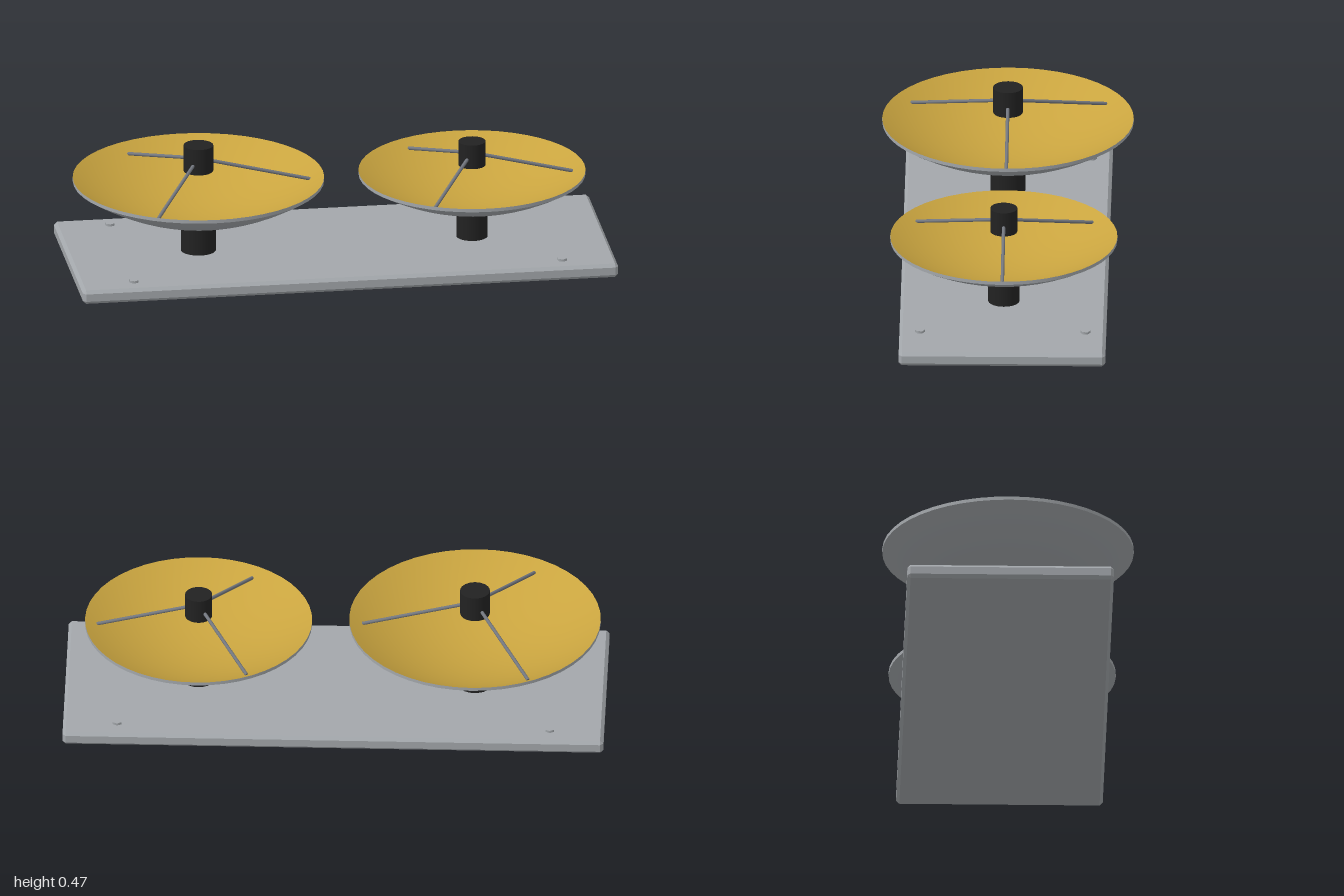
import * as THREE from 'three';
import { ConvexGeometry } from 'three/addons/geometries/ConvexGeometry.js';

const mat = (name, color, opts = {}) => {
  const m = new THREE.MeshStandardMaterial({ color, ...opts });
  m.name = name;
  return m;
};

export function createModel() {
  const grey = mat('light grey metal', 0xa3a7ab);
  const gold = mat('gold', 0xc9a43f);
  const black = mat('black', 0x222222);
  const steel = mat('strut grey', 0x73777f);

  const model = new THREE.Group();
  model.name = 'twinDishAntenna';

  const add = (parent, name, geometry, material, x = 0, y = 0, z = 0) => {
    const mesh = new THREE.Mesh(geometry, material);
    mesh.name = name;
    mesh.position.set(x, y, z);
    parent.add(mesh);
    return mesh;
  };

  // Upright cylinder standing between two heights
  const post = (parent, name, r, y0, y1, material, sides = 32, x = 0, z = 0) =>
    add(parent, name, new THREE.CylinderGeometry(r, r, y1 - y0, sides), material, x, (y0 + y1) / 2, z);

  // Thin rod between two points
  const rod = (parent, name, a, b, r, material) => {
    const dir = b.clone().sub(a);
    const mesh = add(parent, name, new THREE.CylinderGeometry(r, r, dir.length(), 10), material);
    mesh.position.copy(a).add(b).multiplyScalar(0.5);
    mesh.quaternion.setFromUnitVectors(new THREE.Vector3(0, 1, 0), dir.normalize());
  };

  // Base plate: a box with every edge chamfered
  const half = [1, 0.0265, 0.382], c = 0.012;
  const corners = [];
  for (const sx of [-1, 1]) for (const sy of [-1, 1]) for (const sz of [-1, 1]) {
    const s = [sx, sy, sz];
    for (let axis = 0; axis < 3; axis++) {
      corners.push(new THREE.Vector3(...half.map((h, i) => s[i] * (i === axis ? h : h - c))));
    }
  }
  add(model, 'basePlate', new ConvexGeometry(corners), grey, 0, half[1], 0);

  // Hexagonal bolt heads near the corners
  for (const x of [-0.8, 0.8]) for (const z of [-0.306, 0.306]) {
    post(model, 'bolt', 0.0185, 0.045, 0.062, grey, 6, x, z);
  }

  // Parabolic profile from the axis to the rim
  const bowl = (R, y0, y1) => Array.from({ length: 17 }, (_, i) => {
    const t = i / 16;
    return new THREE.Vector2(R * t, y0 + (y1 - y0) * t * t);
  });

  const addDish = (name, d) => {
    const g = new THREE.Group();
    g.name = name;
    g.position.x = d.x;
    model.add(g);

    post(g, 'pedestal', d.postR, 0.045, d.bottom + 0.004, black);

    // Grey back and rim, gold reflecting face
    const t = 0.013;
    add(g, 'dishBack', new THREE.LatheGeometry(bowl(d.R, d.bottom, d.rim - t), 48), grey);
    const edge = [new THREE.Vector2(d.R, d.rim - t), new THREE.Vector2(d.R, d.rim)];
    add(g, 'dishRim', new THREE.LatheGeometry(edge, 48), grey);
    add(g, 'dishFace', new THREE.LatheGeometry(bowl(d.R, d.bottom + t, d.rim).reverse(), 48), gold);

    // Feed hub held by three struts
    post(g, 'feedHub', d.hubR, d.hub0, d.hub1, black);
    const end = d.R * 0.895;
    const endY = d.bottom + t + (d.rim - d.bottom - t) * 0.895 ** 2;
    for (let i = 0; i < 3; i++) {
      const a = (i * Math.PI * 2) / 3;
      const at = (r, y) => new THREE.Vector3(r * Math.cos(a), y, r * Math.sin(a));
      rod(g, 'strut', at(d.hubR * 0.6, d.strutY), at(end, endY), 0.0065, steel);
    }
  };

  addDish('largeDish', {
    x: -0.514, R: 0.465, bottom: 0.176, rim: 0.34, postR: 0.065,
    hubR: 0.055, hub0: 0.365, hub1: 0.465, strutY: 0.405,
  });
  addDish('smallDish', {
    x: 0.508, R: 0.42, bottom: 0.176, rim: 0.313, postR: 0.058,
    hubR: 0.05, hub0: 0.333, hub1: 0.426, strutY: 0.373,
  });

  return model;
}
